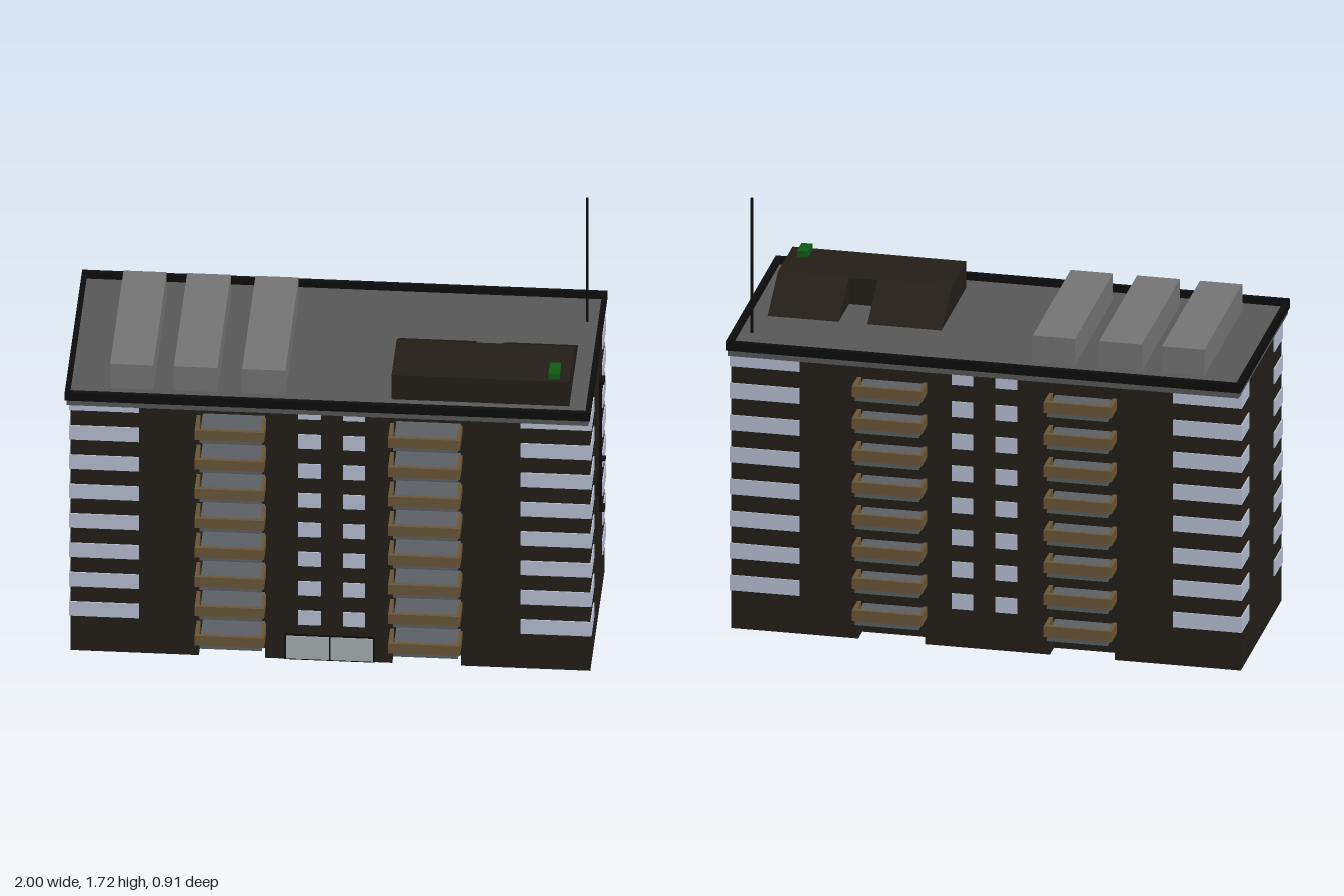
import * as THREE from 'three';

const mat = (color) => new THREE.MeshStandardMaterial({ color, flatShading: true });

export function createModel() {
  const root = new THREE.Group();
  root.name = 'apartmentBlock';
  const wall = mat(0x231e18), glass = mat(0xb8c0d4), brown = mat(0x6a5638), slab = mat(0x5c6064);
  const black = mat(0x0d0d0d), roofGrey = mat(0x585858), unitGrey = mat(0x757575);
  const green = mat(0x0f5a14), doorGlass = mat(0xa9b0b2);

  const add = (name, geo, material, parent = root) => {
    const m = new THREE.Mesh(geo, material);
    m.name = name;
    parent.add(m);
    return m;
  };
  // Box given by its limits on each axis
  const box = (name, x0, x1, y0, y1, z0, z1, material, parent) => {
    const m = add(name, new THREE.BoxGeometry(x1 - x0, y1 - y0, z1 - z0), material, parent);
    m.position.set((x0 + x1) / 2, (y0 + y1) / 2, (z0 + z1) / 2);
    return m;
  };
  // Footprint on the ground plane (x, z), raised from y0 by h
  const raise = (shape, y0, h) =>
    new THREE.ExtrudeGeometry(shape, { depth: h, bevelEnabled: false }).rotateX(-Math.PI / 2).translate(0, y0, 0);
  const outline = (pts) => new THREE.Shape(pts.map(([x, z]) => new THREE.Vector2(x, -z)));
  const rect = (x0, x1, z0, z1) => [[x0, z0], [x0, z1], [x1, z1], [x1, z0]];

  // Main body with recessed balcony bays on front and back
  const L = -0.985, R = 0.977, F = 0.347, B = -0.361, D = 0.07;
  const bays = [[-0.5, -0.25], [0.23, 0.49]];
  const foot = [[L, F]];
  bays.forEach(([a, b]) => foot.push([a, F], [a, F - D], [b, F - D], [b, F]));
  foot.push([R, F], [R, B]);
  [...bays].reverse().forEach(([a, b]) => foot.push([b, B], [b, B + D], [a, B + D], [a, B]));
  foot.push([L, B]);
  add('walls', raise(outline(foot), 0, 1.14), wall);

  // Repeated floors
  const e = 0.005;
  for (let i = 0; i < 8; i++) {
    const floor = new THREE.Group();
    floor.name = 'floor' + (i + 1);
    root.add(floor);
    const y = i * 0.1302, w0 = 0.155 + y, w1 = 0.217 + y;

    // Window bands wrapping the four corners
    for (const [x0, x1] of [[L - e, -0.725], [0.715, R + e]]) {
      box('cornerWindow', x0, x1, w0, w1, 0.21, F + e, glass, floor);
      box('cornerWindow', x0, x1, w0, w1, B - e, -0.23, glass, floor);
    }

    for (const s of [1, -1]) {
      const face = s > 0 ? F : B;
      const zBox = (name, x0, x1, y0, y1, za, zb, m) =>
        box(name, x0, x1, y0, y1, Math.min(za, zb), Math.max(za, zb), m, floor);
      // Stairwell windows
      for (const [a, b] of [[-0.125, -0.04], [0.045, 0.127]])
        zBox('stairWindow', a, b, w0, w1, face - s * 0.01, face + s * e, glass);
      // Balconies: floor slab with three railing panels
      for (const [a, b] of bays) {
        const x0 = a - 0.008, x1 = b + 0.004, r0 = 0.11 + y, r1 = 0.153 + y, out = s * 0.456;
        zBox('balconySlab', a + 0.01, b - 0.005, 0.088 + y, 0.118 + y, face - s * D, s * 0.442, slab);
        zBox('balconyFrontRail', x0, x1, r0, r1, out, out - s * 0.015, brown);
        zBox('balconySideRail', x0, x0 + 0.015, r0, r1, face, out - s * 0.015, brown);
        zBox('balconySideRail', x1 - 0.015, x1, r0, r1, face, out - s * 0.015, brown);
      }
    }
  }

  // Entrance doors
  box('doorFrame', -0.178, 0.165, 0, 0.112, F - 0.01, F + 0.004, black);
  box('leftDoor', -0.17, -0.009, 0.006, 0.105, F - 0.01, F + 0.008, doorGlass);
  box('rightDoor', -0.003, 0.158, 0.006, 0.105, F - 0.01, F + 0.008, doorGlass);

  // Roof slab and parapet ring
  box('roofSlab', -0.993, 0.976, 1.136, 1.168, -0.433, 0.428, roofGrey);
  const ring = outline(rect(-1, 0.982, -0.441, 0.435));
  ring.holes.push(outline(rect(-0.982, 0.964, -0.423, 0.417)));
  add('parapet', raise(ring, 1.16, 0.036), black);

  // Rooftop units
  for (const [a, b] of [[-0.835, -0.672], [-0.595, -0.43], [-0.337, -0.174]])
    box('roofUnit', a, b, 1.165, 1.275, -0.32, 0.345, unitGrey);

  // Plant room with two sloped wings behind it
  box('plantRoom', 0.227, 0.898, 1.165, 1.275, 0.09, 0.345, wall);
  for (const [a, b] of [[0.227, 0.515], [0.625, 0.898]]) {
    const wedge = new THREE.Shape([[-0.09, 1.165], [0.096, 1.165], [-0.09, 1.275]].map((p) => new THREE.Vector2(...p)));
    const g = new THREE.ExtrudeGeometry(wedge, { depth: b - a, bevelEnabled: false });
    add('plantRoomSlope', g.rotateY(Math.PI / 2).translate(a, 0, 0), wall);
  }
  box('greenBox', 0.818, 0.86, 1.275, 1.3, 0.25, 0.33, green);

  // Antenna mast
  add('antenna', new THREE.CylinderGeometry(0.005, 0.005, 0.55, 8), black).position.set(0.92, 1.44, -0.263);

  // Crossed bars on the left wall with end knobs
  box('wallBarUpright', R, 0.986, 0.44, 1.03, -0.108, -0.082, black);
  box('wallBarCross', R, 0.986, 0.628, 0.644, -0.155, 0.108, black);
  for (const [y, z, r] of [[1.015, -0.095, 0.018], [0.45, -0.095, 0.018], [0.636, 0.098, 0.011], [0.636, -0.146, 0.011]]) {
    const knob = add('wallBarKnob', new THREE.CylinderGeometry(r, r, 0.023, 10).rotateZ(Math.PI / 2), black);
    knob.position.set(0.986, y, z);
  }
  return root;
}
